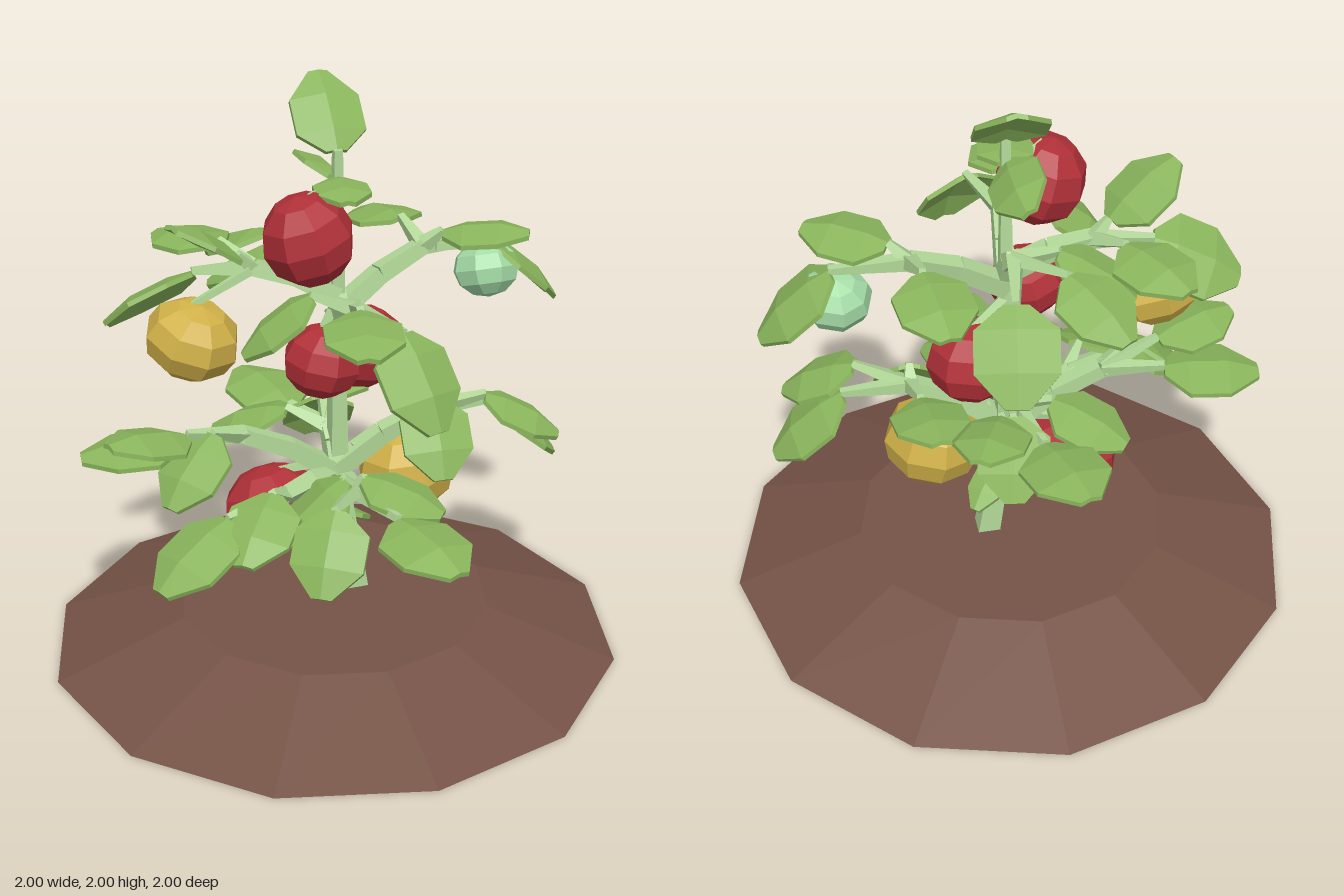
import * as THREE from 'three';

const mat = (color) => new THREE.MeshStandardMaterial({ color, flatShading: true });
const UP = new THREE.Vector3(0, 1, 0);
const STEM_X = 0.02, STEM_Z = -0.03;
const rad = THREE.MathUtils.degToRad;

// Unit direction from compass angle (0 = +x, 90 = +z) and pitch, in degrees
const heading = (angle, pitch = 0) => new THREE.Vector3(
  Math.cos(rad(angle)) * Math.cos(rad(pitch)), Math.sin(rad(pitch)), Math.sin(rad(angle)) * Math.cos(rad(pitch)));

// Rows along a leaf: [position along the length, half width, rise]
const LEAF_ROWS = [[0, 0.14, 0], [0.24, 0.47, 0.06], [0.66, 0.47, 0.08], [1, 0.13, 0]];

// Thin leaf, folded along its midrib: one closed ring of six points per row
function leafGeometry(length, width) {
  const pos = [], index = [], t = 0.016;
  for (const [z, w, rise] of LEAF_ROWS) {
    const x = w * width, y = rise * length, edge = y - 0.25 * x;
    const ring = [[-x, edge], [0, y], [x, edge], [x, edge - t], [0, y - t], [-x, edge - t]];
    for (const [px, py] of ring) pos.push(px, py, z * length);
  }
  const last = (LEAF_ROWS.length - 1) * 6;
  for (let i = 0; i < last; i += 6) {
    for (let j = 0; j < 6; j++) {
      const a = i + j, d = i + (j + 1) % 6;
      index.push(a, a + 6, d + 6, a, d + 6, d);
    }
  }
  for (let j = 1; j < 5; j++) index.push(0, j, j + 1, last, last + j + 1, last + j);
  const g = new THREE.BufferGeometry();
  g.setAttribute('position', new THREE.Float32BufferAttribute(pos, 3));
  g.setIndex(index);
  const flat = g.toNonIndexed();
  flat.computeVertexNormals();
  return flat;
}

// Branch: angle, reach, height at stem, height at hub;
// leaflets as [angle, pitch, stalk length (optional), roll (optional)], end leaflet first
const BRANCHES = [
  ['upperLeftBranch', -9, 0.33, 1.22, 1.4, [[0, -43, 0.26], [28, 3, 0.07], [-98, -10]]],
  ['upperRightBranch', 189, 0.28, 1.28, 1.4, [[190, -28, 0.2, 0.5], [160, 32, 0.06], [240, -5]]],
  ['upperFrontBranch', 96, 0.28, 1.2, 1.34, [[72, -55], [105, -8], [190, -40]]],
  ['upperBackBranch', 262, 0.08, 1.26, 1.38, [[280, -45], [236, -24, 0.24], [205, -30]]],
  ['lowerLeftBranch', 5, 0.33, 0.64, 0.83, [[0, -42], [22, -28, 0.2], [-95, 10], [95, -55, 0.04]]],
  ['lowerRightBranch', 180, 0.33, 0.63, 0.82, [[188, -4, 0.22], [165, 8, 0.22], [150, -42]]],
  ['lowerFrontRightBranch', 142, 0.32, 0.6, 0.67, [[158, -30], [130, -28, 0.1]]],
  ['lowerFrontBranch', 94, 0.26, 0.58, 0.68, [[75, -8], [125, -52, 0.26], [40, -17, 0.03], [175, -42, 0.05]]],
  ['lowerBackBranch', 262, 0.06, 0.66, 0.77, [[255, 5], [280, -50], [215, -20], [295, 10]]],
];

// Fruits: centre, radius, height ratio, colour, height where the stalk starts
const RED = 0xb03038, YELLOW = 0xd0b048, GREEN = 0xa4dba6;
const FRUITS = [
  [-0.12, 1.54, 0.1, 0.155, 1, RED, 1.66],
  [-0.08, 1.12, 0.12, 0.134, 0.92, RED, 1.25],
  [0.16, 1.03, -0.155, 0.155, 0.92, RED, 1.18],
  [-0.2, 0.51, -0.06, 0.178, 0.86, RED, 0.67],
  [-0.47, 1.18, -0.06, 0.164, 0.8, YELLOW, 1.4],
  [0.28, 0.6, -0.03, 0.175, 0.9, YELLOW, 0.71],
  [0.585, 1.29, -0.08, 0.118, 0.84, GREEN, 1.4],
];

export function createModel() {
  const model = new THREE.Group();
  const leafMat = mat(0x8ab55c), stemMat = mat(0xb2d898), soilMat = mat(0x755246);

  const group = (name) => {
    const g = new THREE.Group();
    g.name = name;
    model.add(g);
    return g;
  };
  const add = (parent, name, geometry, material) => {
    const m = new THREE.Mesh(geometry, material);
    m.name = name;
    parent.add(m);
    return m;
  };

  // Tapered square limb between two points
  const limb = (parent, name, a, b, r0, r1) => {
    const d = b.clone().sub(a);
    const geometry = new THREE.CylinderGeometry(r1, r0, d.length(), 4).rotateY(Math.PI / 4);
    const m = add(parent, name, geometry, stemMat);
    m.position.copy(a).add(b).multiplyScalar(0.5);
    m.quaternion.setFromUnitVectors(UP, d.normalize());
  };

  // Leaf growing from a base point, its face turned upwards
  const leaf = (parent, base, angle, pitch, length, width, roll = 0) => {
    const f = heading(angle, pitch), s = UP.clone().cross(f).normalize();
    const m = add(parent, 'leaf', leafGeometry(length, width), leafMat);
    m.quaternion.setFromRotationMatrix(new THREE.Matrix4().makeBasis(s, f.clone().cross(s), f));
    m.rotateZ(roll);
    m.position.copy(base);
  };

  // Soil mound
  add(model, 'soilMound', new THREE.CylinderGeometry(0.55, 1, 0.165, 12), soilMat).position.y = 0.0825;

  // Main stem, leaning in its lowest part
  const stem = [[0.1, 0.12, -0.04], [0.03, 0.6, -0.04], [0.025, 1.2, -0.035], [0.02, 1.79, -0.015]]
    .map((p) => new THREE.Vector3(...p));
  for (let i = 0; i < 3; i++) limb(model, 'stem', stem[i], stem[i + 1], 0.056 - i * 0.012, 0.044 - i * 0.012);

  // Branches: a bent limb to a hub, then a long end leaflet and raised side leaflets
  for (const [name, angle, reach, y0, y1, leaflets] of BRANCHES) {
    const g = group(name);
    const start = new THREE.Vector3(STEM_X, y0, STEM_Z);
    const hub = start.clone().addScaledVector(heading(angle), reach).setY(y1);
    const bend = start.clone().lerp(hub, 0.5);
    bend.y += 0.02;
    limb(g, 'branch', start, bend, 0.046, 0.042);
    limb(g, 'branch', bend, hub, 0.042, 0.036);
    leaflets.forEach(([a, pitch, stalk = i => i ? 0.15 : 0.24, roll], i) => {
      const reachOut = typeof stalk === 'number' ? stalk : stalk(i);
      const base = hub.clone().addScaledVector(heading(a), reachOut);
      if (i) base.y += 0.06;
      limb(g, 'leafStalk', hub, base, 0.034, 0.016);
      leaf(g, base, a, pitch, i ? 0.29 : 0.33, i ? 0.26 : 0.29, roll);
    });
  }

  // Leaves at the top of the stem
  const top = group('topShoot'), neck = new THREE.Vector3(STEM_X, 1.7, -0.02);
  leaf(top, stem[3], -88, 44, 0.3, 0.25);
  leaf(top, neck, 100, -3, 0.22, 0.19);
  leaf(top, neck, 268, -2, 0.28, 0.2, 0.6);

  // Small leaves low on the stem
  const low = group('lowShoot'), knot = new THREE.Vector3(0.05, 0.47, -0.04);
  leaf(low, knot, 130, -58, 0.21, 0.13);
  leaf(low, knot, -48, -32, 0.2, 0.13);

  // Fruits, each hanging from a short stalk
  FRUITS.forEach(([x, y, z, r, h, color, stalkY], i) => {
    const g = group('fruit');
    const crown = new THREE.Vector3(x, y + r * h * 0.9, z);
    const root = new THREE.Vector3(STEM_X - x, 0, STEM_Z - z).clampLength(0, 0.2);
    root.add(new THREE.Vector3(x, stalkY, z));
    const body = add(g, 'fruitBody', new THREE.SphereGeometry(r, 8, 6), mat(color));
    body.scale.y = h;
    body.position.set(x, y, z);
    body.rotation.set(0.3 * Math.sin(i * 2), i * 0.8, 0.3 * Math.cos(i * 3));
    limb(g, 'fruitStalk', root, crown, 0.02, 0.014);
  });

  return model;
}
